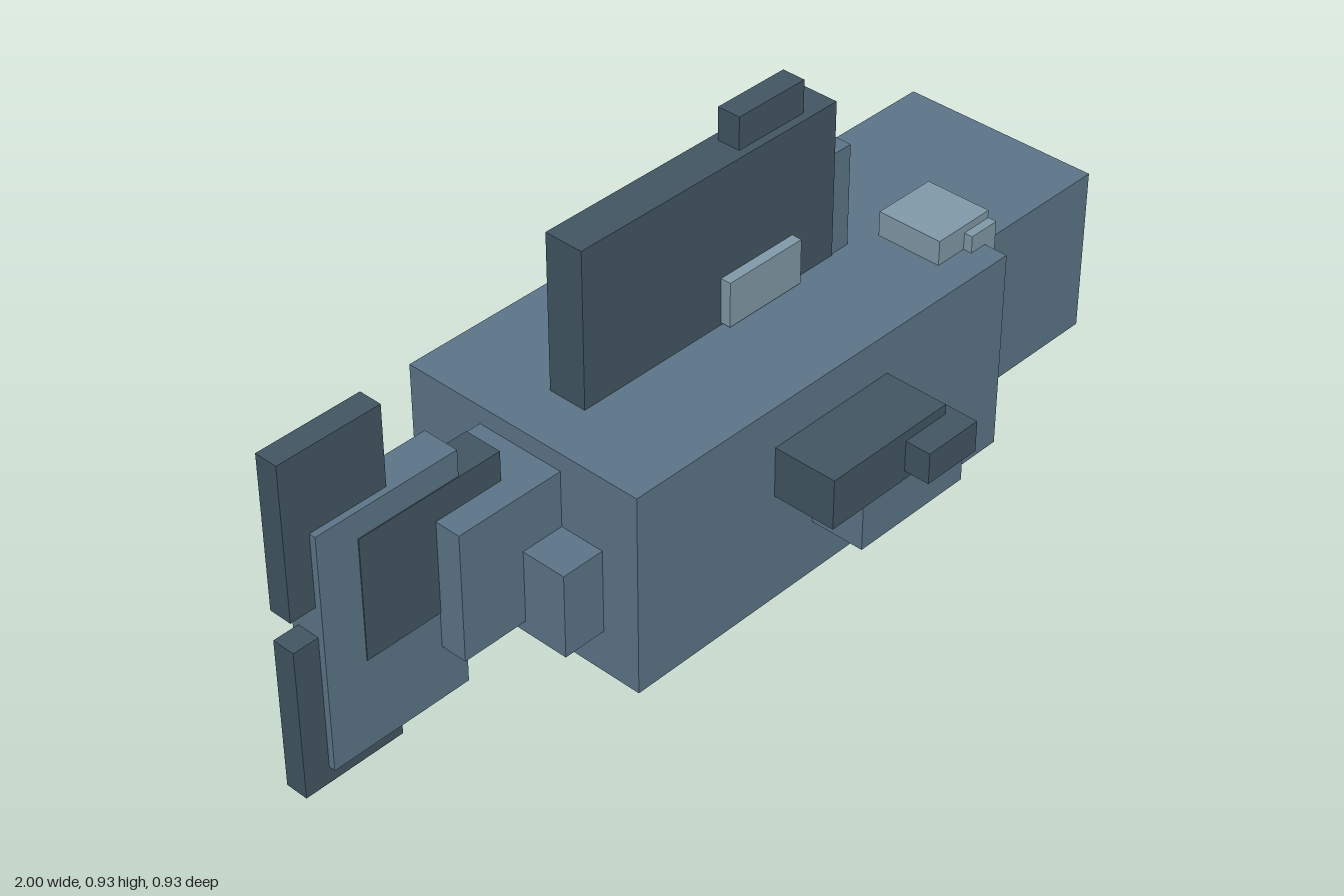
import * as THREE from 'three';

const material = (name, color) => {
  const m = new THREE.MeshStandardMaterial({ color });
  m.name = name;
  return m;
};

export function createModel() {
  const group = new THREE.Group();
  const blue = material('slate blue', 0x5d7689);
  const dark = material('dark slate', 0x425663);
  const light = material('pale slate', 0x829ba9);

  // Box given by its extents along x, y and z
  const block = (name, mat, [x0, x1], [y0, y1], [z0, z1]) => {
    const mesh = new THREE.Mesh(new THREE.BoxGeometry(x1 - x0, y1 - y0, z1 - z0), mat);
    mesh.position.set((x0 + x1) / 2, (y0 + y1) / 2, (z0 + z1) / 2);
    mesh.name = name;
    group.add(mesh);
  };

  // Body and head
  block('body', blue, [-0.407, 0.652], [0.035, 0.502], [-0.337, 0.26]);
  block('head', blue, [0.64, 1], [0.122, 0.501], [-0.273, 0.197]);

  // Tail stem, stepping down towards the tail fin
  block('lowerTailStem', blue, [-0.508, -0.4], [0.135, 0.33], [-0.253, 0.17]);
  block('tailStem', blue, [-0.664, -0.4], [0.162, 0.46], [-0.147, 0.065]);

  // Tail fin with inset panel and two tips
  block('tailFin', blue, [-0.941, -0.602], [0.038, 0.588], [-0.081, 0.003]);
  block('tailFinPanel', dark, [-0.846, -0.5], [0.245, 0.528], [-0.083, 0.005]);
  for (const [name, y] of [['upperTailTip', [0.42, 0.77]], ['lowerTailTip', [0, 0.35]]]) {
    block(name, dark, [-1, -0.76], y, [-0.065, -0.012]);
  }

  // Back fin with its cap, leading edge and pale band
  block('backFin', dark, [-0.283, 0.415], [0.49, 0.86], [-0.084, 0.007]);
  block('backFinCap', dark, [0.158, 0.341], [0.85, 0.934], [-0.066, -0.012]);
  block('backFinFrontEdge', blue, [0.3, 0.465], [0.49, 0.738], [-0.081, 0.004]);
  block('backFinBand', light, [0.09, 0.294], [0.508, 0.611], [-0.108, 0.031]);

  // Side fins passing through the body
  block('sideFins', blue, [0.08, 0.38], [0.162, 0.29], [-0.465, 0.387]);

  // Dark fittings on the front flank
  block('flankBlock', dark, [-0.032, 0.292], [0.29, 0.406], [0.25, 0.407]);
  block('flankBlockTip', dark, [0.175, 0.316], [0.311, 0.383], [0.25, 0.466]);

  // Pale crest above the head
  block('crest', light, [0.532, 0.684], [0.49, 0.559], [0.029, 0.184]);
  block('crestDrop', light, [0.61, 0.685], [0.464, 0.541], [0.1, 0.204]);

  return group;
}
